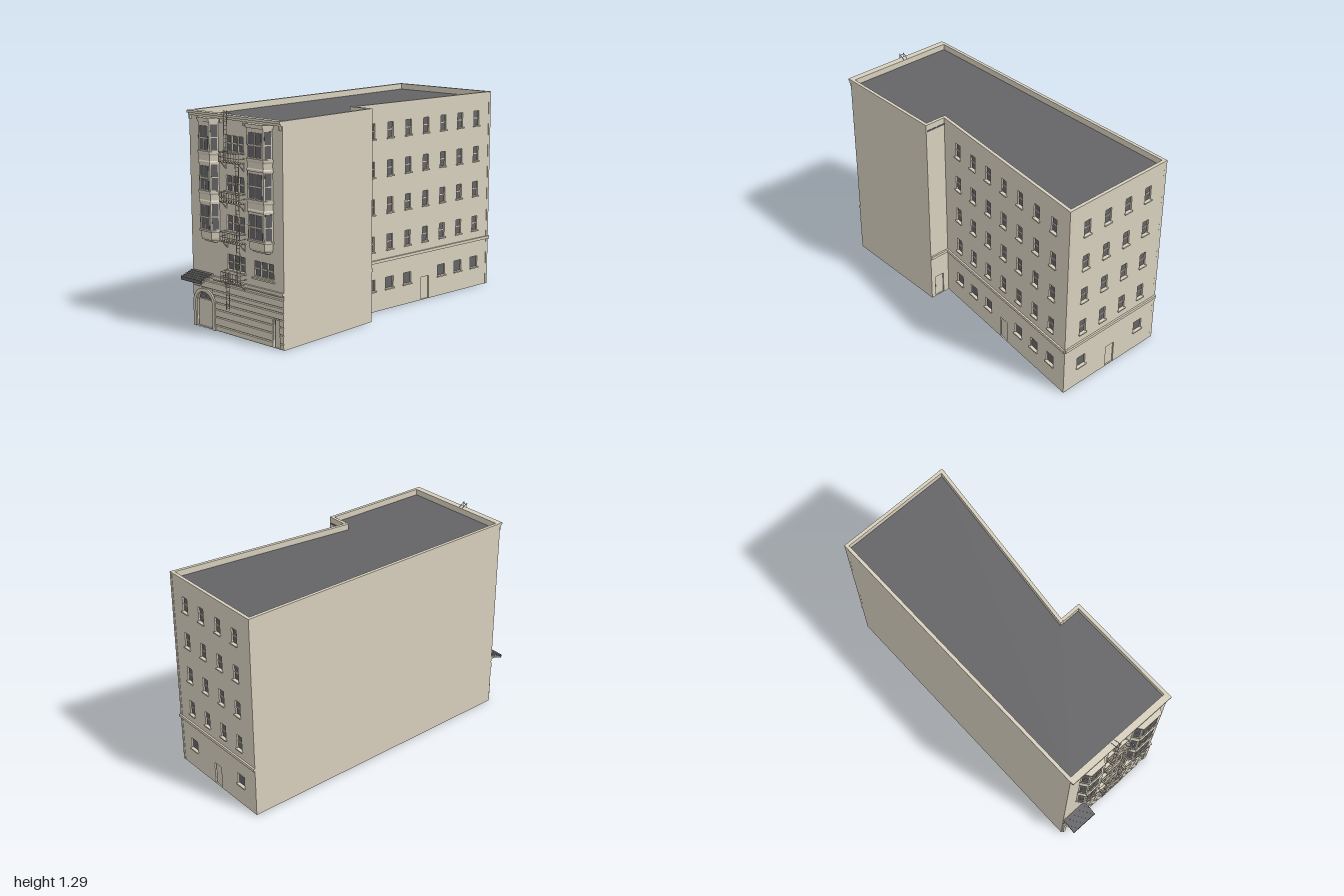
import * as THREE from 'three';

const stone = new THREE.MeshStandardMaterial({ color: 0xd7cfbd });
stone.name = 'stone';
const slate = new THREE.MeshStandardMaterial({ color: 0x646467 });
slate.name = 'slate';

const T = 0.02, H = 1.262; // wall thickness and height

function add(parent, name, geo, mat = stone) {
  const m = new THREE.Mesh(geo, mat);
  m.name = name;
  parent.add(m);
  return m;
}

// Box given by its limits on each axis
function box(parent, name, x0, x1, y0, y1, z0, z1, mat) {
  const m = add(parent, name, new THREE.BoxGeometry(x1 - x0, y1 - y0, z1 - z0), mat);
  m.position.set((x0 + x1) / 2, (y0 + y1) / 2, (z0 + z1) / 2);
  return m;
}

// Thin bar between two points
function bar(parent, name, a, b, t = 0.003) {
  const p = new THREE.Vector3(...a), d = new THREE.Vector3(...b).sub(p);
  const m = add(parent, name, new THREE.BoxGeometry(t, d.length(), t));
  m.position.copy(p).addScaledVector(d, 0.5);
  m.quaternion.setFromUnitVectors(new THREE.Vector3(0, 1, 0), d.normalize());
}

// Group whose local x runs from p0 to p1 (x, z) and whose local z points outward
function frame(parent, name, p0, p1) {
  const g = new THREE.Group();
  g.name = name;
  g.position.set(p0[0], 0, p0[1]);
  g.rotation.y = Math.atan2(p0[1] - p1[1], p1[0] - p0[0]);
  parent.add(g);
  return g;
}

function rectPath(x0, x1, y0, y1, P = THREE.Path) {
  const p = new P();
  p.moveTo(x0, y0); p.lineTo(x1, y0); p.lineTo(x1, y1); p.lineTo(x0, y1); p.closePath();
  return p;
}

function wallPanel(g, x0, x1, holes = []) {
  const s = rectPath(x0, x1, 0, H, THREE.Shape);
  s.holes.push(...holes);
  const geo = new THREE.ExtrudeGeometry(s, { depth: T, bevelEnabled: false });
  geo.translate(0, 0, -T);
  add(g, 'wall', geo);
}

// Glass with glazing bars and an optional sill; returns the opening for the wall
function windowAt(g, x0, x1, y0, y1, { cols = 1, rows = 2, z = -0.01, sill = true } = {}) {
  box(g, 'glass', x0, x1, y0, y1, z - 0.003, z, slate);
  const zt = z + 0.003;
  for (let i = 1; i < cols; i++) {
    const x = x0 + (x1 - x0) * i / cols;
    box(g, 'mullion', x - 0.002, x + 0.002, y0, y1, z, zt);
  }
  for (let i = 1; i < rows; i++) {
    const y = y0 + (y1 - y0) * i / rows;
    box(g, 'sashBar', x0, x1, y - 0.003, y + 0.003, z, zt);
  }
  if (sill) box(g, 'sill', x0 - 0.006, x1 + 0.006, y0 - 0.008, y0, -0.005, 0.01);
  return rectPath(x0, x1, y0, y1);
}

// Recessed door with a deep dark jamb down one side
function doorAt(g, x0, x1, h) {
  box(g, 'doorJamb', x0, x0 + 0.007, 0.002, h, -0.045, -0.01, slate);
  box(g, 'door', x0 + 0.007, x1, 0.002, h, -0.015, -0.008);
  return rectPath(x0, x1, 0.003, h);
}

function archPath(c, s, r, y0, P = THREE.Path) {
  const p = new P();
  p.moveTo(c - r, y0); p.lineTo(c - r, s);
  p.absarc(c, s, r, Math.PI, 0, true);
  p.lineTo(c + r, y0); p.closePath();
  return p;
}

// Four storeys of sash windows over a ground floor with small windows and a door
function plainFacade(g, len, ext, cols, small, door) {
  const holes = [];
  for (const u of cols)
    for (const y of [0.375, 0.602, 0.828, 1.056]) holes.push(windowAt(g, u - 0.023, u + 0.023, y, y + 0.092));
  for (const u of small) holes.push(windowAt(g, u - 0.032, u + 0.032, 0.13, 0.2, { rows: 1 }));
  holes.push(doorAt(g, door - 0.033, door + 0.033, 0.147));
  wallPanel(g, -ext, len, holes);
  box(g, 'beltCourse', 0, len, 0.302, 0.32, -0.005, 0.011);
}

// Three-sided bay lofted from trapezoid sections
function bay(front, cx, hb, hf, d) {
  const g = new THREE.Group();
  g.name = 'bayWindow';
  front.add(g);
  const prof = [[0.525, -0.024], [0.536, -0.02], [0.536, -0.01], [0.55, -0.005], [0.588, -0.003], [0.588, 0.006],
    [0.598, 0.006], [0.598, 0]];
  for (const b of [0.598, 0.823])
    prof.push([b + 0.155, 0], [b + 0.155, 0.005], [b + 0.165, 0.005], [b + 0.172, 0.001], [b + 0.203, 0.001],
      [b + 0.213, 0.006], [b + 0.225, 0.006], [b + 0.225, 0]);
  prof.push([1.212, 0], [1.212, 0.005], [1.222, 0.005], [1.222, 0.009], [1.235, 0.009]);
  const sec = prof.map(([y, e]) => [[-hb - e, 0], [-hf - e * 0.6, d + e], [hf + e * 0.6, d + e], [hb + e, 0]]
    .map(([x, z]) => [cx + x, y, z]));
  const v = [];
  const quad = (a, b, c, e) => v.push(...a, ...b, ...c, ...a, ...c, ...e);
  for (let k = 0; k + 1 < sec.length; k++)
    for (let i = 0; i < 3; i++) quad(sec[k][i], sec[k][i + 1], sec[k + 1][i + 1], sec[k + 1][i]);
  quad(...sec[sec.length - 1]);
  quad(...[...sec[0]].reverse());
  const geo = new THREE.BufferGeometry();
  geo.setAttribute('position', new THREE.Float32BufferAttribute(v, 3));
  geo.computeVertexNormals();
  add(g, 'bayShell', geo);
  const pts = [[-hb, 0], [-hf, d], [hf, d], [hb, 0]].map(([x, z]) => [cx + x, z]);
  for (let i = 0; i < 3; i++) {
    const f = frame(g, 'bayFacet', pts[i], pts[i + 1]);
    const len = Math.hypot(pts[i + 1][0] - pts[i][0], pts[i + 1][1] - pts[i][1]);
    const m = i === 1 ? 0.011 : 0.007;
    [0.603, 0.828, 1.053].forEach((y) => windowAt(f, m, len - m, y, y + (i === 1 ? 0.137 : 0.147),
      { cols: i === 1 ? 2 : 1, z: 0.002, sill: false }));
  }
}

function ladder(g, x0, x1, y0, y1, z) {
  for (const x of [x0, x1]) bar(g, 'ladderRail', [x, y0, z], [x, y1, z]);
  for (let y = y0 + 0.012; y < y1; y += 0.024) bar(g, 'ladderRung', [x0, y, z], [x1, y, z], 0.0025);
}

function fireEscape(front) {
  const g = new THREE.Group();
  g.name = 'fireEscape';
  front.add(g);
  const x0 = -0.077, x1 = 0.083, z = 0.048;
  for (const y of [0.323, 0.553, 0.778, 1.003]) {
    for (let i = 0; i <= 5; i++) box(g, 'platformSlat', x0, x1, y - 0.002, y + 0.002, i * 0.009, i * 0.009 + 0.005);
    for (const h of [0.027, 0.054]) {
      bar(g, 'railing', [x0, y + h, z], [x1, y + h, z]);
      for (const x of [x0, x1]) bar(g, 'railing', [x, y + h, 0], [x, y + h, z]);
    }
    for (let i = 0; i <= 8; i++) {
      const x = x0 + (x1 - x0) * i / 8;
      bar(g, 'baluster', [x, y, z], [x, y + 0.054, z], 0.0025);
    }
    for (const x of [-0.068, 0.076]) {
      bar(g, 'bracket', [x, y - 0.042, 0.002], [x, y, 0.042], 0.004);
      bar(g, 'bracketPost', [x, y - 0.045, 0.002], [x, y, 0.002], 0.004);
    }
  }
  ladder(g, -0.054, -0.028, 1.0, 1.288, 0.026);
  ladder(g, 0.038, 0.064, 0.323, 0.995, 0.03);
  ladder(g, -0.054, -0.028, 0.155, 0.38, 0.03);
  for (const x of [-0.054, -0.028]) bar(g, 'ladderHook', [x, 1.286, 0.026], [x, 1.262, -0.015]);
}

// Stone course whose front face is narrowed to leave V-shaped grooves
function stoneCourse(g, x0, x1, y0, y1) {
  const geo = box(g, 'stoneCourse', x0, x1, y0, y1, 0, 0.006).geometry;
  const p = geo.attributes.position;
  for (let i = 0; i < p.count; i++)
    if (p.getZ(i) > 0) p.setY(i, p.getY(i) - Math.sign(p.getY(i)) * 0.004);
  geo.computeVertexNormals();
}

function frontFacade(g) {
  const L = -0.365, R = 0.375, holes = [];
  for (const y of [0.385, 0.61, 0.835, 1.06])
    for (const x of [-0.047, 0.002, 0.052]) holes.push(windowAt(g, x - 0.021, x + 0.021, y, y + 0.087));
  for (const x of [0.17, 0.222, 0.275]) holes.push(windowAt(g, x - 0.023, x + 0.023, 0.385, 0.47, { sill: false }));
  box(g, 'wideSill', 0.135, 0.308, 0.367, 0.377, 0, 0.012);
  holes.push(doorAt(g, 0.295, 0.342, 0.162));

  // Arched entrance with fanlight
  const c = -0.267, s = 0.145, ri = 0.07, ro = 0.092;
  holes.push(archPath(c, s, ri, 0.003));
  const fan = add(g, 'fanlight', new THREE.ShapeGeometry(archPath(c, s, ri, 0.144, THREE.Shape)), slate);
  fan.position.z = -0.016;
  box(g, 'entranceDoor', c - 0.064, c + 0.064, 0.002, 0.16, -0.016, -0.01);
  for (const x of [c - ri, c + 0.064]) box(g, 'entranceJamb', x, x + 0.006, 0.002, 0.16, -0.05, -0.012, slate);
  box(g, 'transom', c - ri, c + ri, 0.16, 0.167, -0.016, -0.006);
  for (const a of [0.8, 1.57, 2.34])
    bar(g, 'fanlightBar', [c, 0.165, -0.014], [c + Math.cos(a) * ri, s + Math.sin(a) * ri, -0.014], 0.002);
  const ring = archPath(c, s, ro, 0, THREE.Shape);
  ring.holes.push(archPath(c, s, ri, 0.001));
  add(g, 'archSurround', new THREE.ExtrudeGeometry(ring, { depth: 0.01, bevelEnabled: false }));
  wallPanel(g, L, R, holes);

  // Rusticated stone courses
  const ys = [0, 0.035, 0.085, 0.13, 0.17, 0.21, 0.24];
  for (let i = 0; i < 6; i++) {
    const y0 = ys[i], y1 = ys[i + 1];
    const x0 = c + Math.sqrt(ro * ro - Math.max(0, y0 - s) ** 2);
    stoneCourse(g, x0, i < 4 ? 0.292 : R, y0, y1);
    if (i < 4) stoneCourse(g, 0.345, R, y0, y1);
  }
  stoneCourse(g, L, R, 0.24, 0.285);

  // Belt course with dentils, and the cornice
  box(g, 'beltCourse', L, R, 0.308, 0.325, 0, 0.012);
  for (let x = -0.185; x < 0.37; x += 0.016) box(g, 'dentil', x, x + 0.008, 0.299, 0.308, 0, 0.009);
  box(g, 'corniceTop', L, R, 1.248, H, 0, 0.02);
  box(g, 'corniceBase', L, R, 1.235, 1.248, 0, 0.012);
  for (const x of [-0.355, -0.1, 0.09, 0.365]) box(g, 'corniceBracket', x - 0.005, x + 0.005, 1.212, 1.236, 0, 0.012);

  // Stepped entrance canopy with dark slats and a dark fascia
  for (let i = 0; i < 5; i++) {
    const y = 0.333 - i * 0.006, z0 = i * 0.018, z1 = z0 + 0.023;
    box(g, 'canopySlat', L, -0.19, y - 0.001, y + 0.001, z0, z1, slate);
    if (i < 4) box(g, 'canopyBatten', L, -0.19, y - 0.006, y - 0.001, z0, z1 - 0.001);
  }
  box(g, 'canopyFascia', L, -0.19, 0.289, 0.308, 0.088, 0.095, slate);
  for (const x of [L + 0.004, -0.194]) bar(g, 'canopyArm', [x, 0.32, 0.003], [x, 0.294, 0.088], 0.006);

  bay(g, -0.203, 0.076, 0.045, 0.04);
  bay(g, 0.207, 0.092, 0.062, 0.04);
  fireEscape(g);
}

export function createModel() {
  const model = new THREE.Group();
  model.name = 'apartmentBuilding';
  // Footprint corners (x, z), running from the front around the +x side
  const P = [[-0.367, 0.905], [0.375, 0.905], [0.375, 0.178], [0.24, 0.178], [0.365, -0.989], [-0.38, -0.989]];
  const side = (name, i) => {
    const a = P[i], b = P[(i + 1) % 6];
    return { g: frame(model, name, a, b), len: Math.hypot(b[0] - a[0], b[1] - a[1]) };
  };

  frontFacade(frame(model, 'frontFacade', [0, 0.905], [1, 0.905]));
  for (const [name, i] of [['leftFrontWall', 1], ['rightWall', 5]]) {
    const { g, len } = side(name, i);
    wallPanel(g, 0, len);
  }

  // Short return wall with its own door
  const step = side('stepWall', 2);
  wallPanel(step.g, 0, step.len, [doorAt(step.g, 0.03, 0.095, 0.147)]);
  box(step.g, 'beltCourse', 0, step.len, 0.302, 0.32, -0.005, 0.011);

  const slant = side('slantedSideFacade', 3);
  const cols = [0, 1, 2, 3, 4, 5, 6].map((i) => (0.135 + i * 0.15) * slant.len / 1.167);
  plainFacade(slant.g, slant.len, T, cols, cols.filter((u, i) => i !== 3), cols[3] + 0.005);

  const rear = side('backFacade', 4);
  plainFacade(rear.g, rear.len, 0, [0.135, 0.292, 0.45, 0.605], [0.135, 0.605], 0.373);

  // Flat roof set below the parapet
  const shape = new THREE.Shape(P.map(([x, z]) => new THREE.Vector2(x * 0.985, -z * 0.99)));
  const roof = add(model, 'roof', new THREE.ExtrudeGeometry(shape, { depth: 0.01, bevelEnabled: false }), slate);
  roof.rotation.x = -Math.PI / 2;
  roof.position.y = 1.215;
  return model;
}
